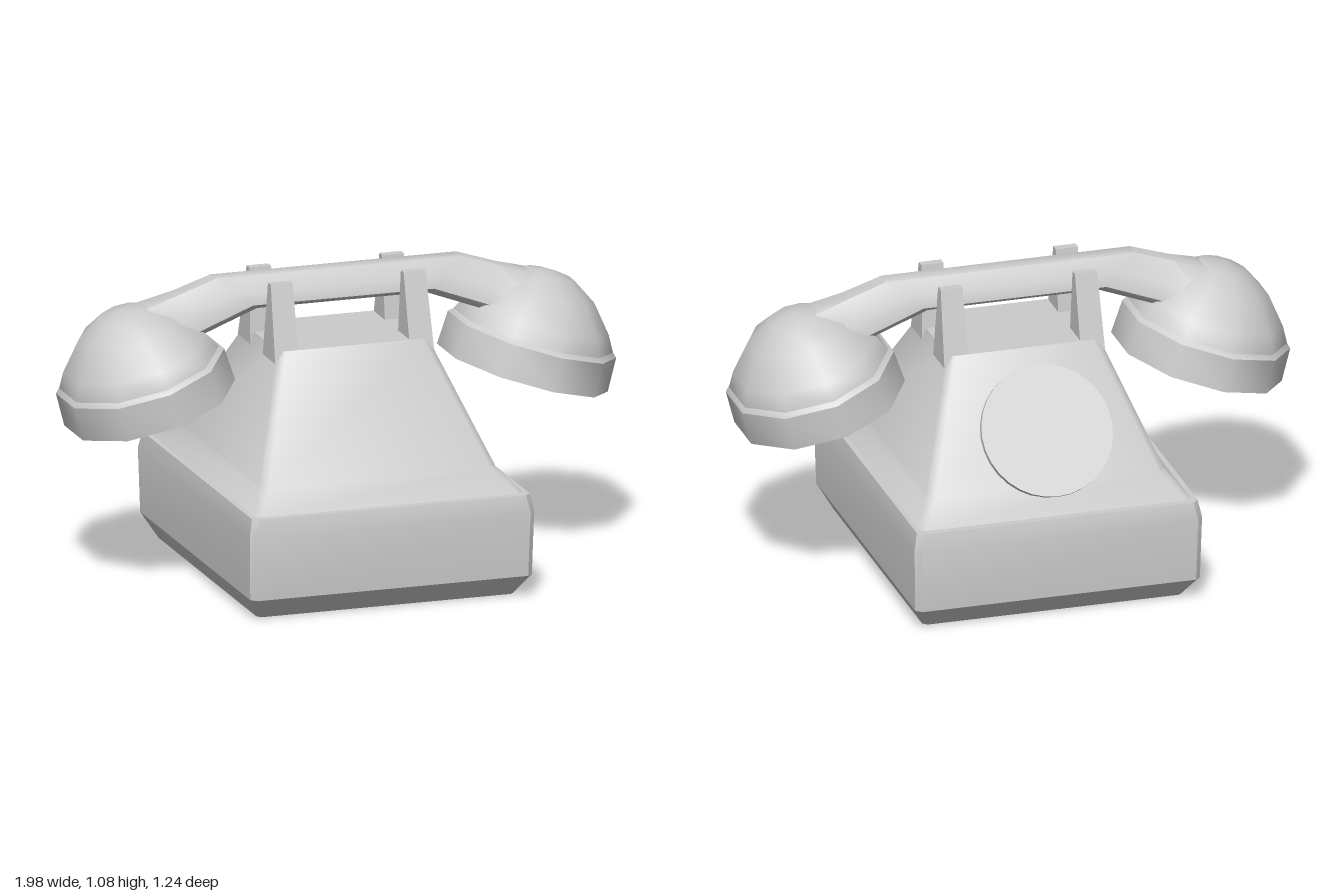
import * as THREE from 'three';
import { toCreasedNormals } from 'three/addons/utils/BufferGeometryUtils.js';

const material = new THREE.MeshStandardMaterial({ color: 0xcccccc });

function addMesh(parent, name, geometry, crease = 0.6) {
  const mesh = new THREE.Mesh(toCreasedNormals(geometry, crease), material);
  mesh.name = name;
  parent.add(mesh);
  return mesh;
}

// Skin a row of equal-length rings of [x, y, z] and close both ends
function loft(rings) {
  const n = rings[0].length, index = [];
  for (let r = 0; r < rings.length - 1; r++) {
    for (let i = 0; i < n; i++) {
      const a = r * n + i, b = r * n + (i + 1) % n;
      index.push(a, b, b + n, a, b + n, a + n);
    }
  }
  const last = (rings.length - 1) * n;
  for (let i = 1; i < n - 1; i++) {
    index.push(0, i + 1, i, last, last + i, last + i + 1);
  }
  const geometry = new THREE.BufferGeometry();
  geometry.setAttribute('position', new THREE.Float32BufferAttribute(rings.flat(2), 3));
  geometry.setIndex(index);
  return geometry;
}

// Horizontal rectangle with cut corners
function cutRect([y, hx, hz, c]) {
  return [
    [hx, hz - c], [hx, c - hz], [hx - c, -hz], [c - hx, -hz],
    [-hx, c - hz], [-hx, hz - c], [c - hx, hz], [hx - c, hz],
  ].map(([x, z]) => [x, y, z]);
}

// Handle cross-section between a top and a bottom point
function handleRing([tx, ty, bx, by, width]) {
  const half = [[0.03, 1], [0.072, 0.55], [0.082, 0.15], [0.06, 0]];
  const outline = [
    ...half.map(([z, t]) => [-z, t]).reverse(),
    ...half,
  ];
  return outline.map(([z, t]) => [bx + (tx - bx) * t, by + (ty - by) * t, z * width]);
}

export function createModel() {
  const phone = new THREE.Group();
  phone.name = 'telephone';

  // Base box and tapered body: y, half width, half depth, corner cut
  addMesh(phone, 'base', loft([
    [0, 0.47, 0.54, 0.015], [0.08, 0.515, 0.61, 0.02],
    [0.31, 0.52, 0.62, 0.02], [0.37, 0.508, 0.607, 0.02],
  ].map(cutRect)), 0.35);
  addMesh(phone, 'body', loft([
    [0.36, 0.5, 0.595, 0.02], [0.37, 0.49, 0.58, 0.02],
    [0.44, 0.43, 0.47, 0.025], [0.845, 0.275, 0.195, 0.025],
  ].map(cutRect)), 0.85);

  // Four cradle prongs, tapering towards the top
  for (const sx of [1, -1]) {
    for (const sz of [1, -1]) {
      const geometry = new THREE.BoxGeometry(1, 1, 1);
      const p = geometry.attributes.position;
      for (let i = 0; i < p.count; i++) {
        const top = p.getY(i) > 0;
        const outerX = p.getX(i) * sx > 0, outerZ = p.getZ(i) * sz > 0;
        const x = outerX ? (top ? 0.283 : 0.292) : 0.203;
        const z = outerZ ? (top ? 0.13 : 0.212) : (top ? 0.1 : 0.06);
        p.setXYZ(i, sx * x, top ? 1.07 : 0.76, sz * z);
      }
      addMesh(phone, 'cradleProng', geometry);
    }
  }

  // Round dial plate lying on the back slope
  const dial = addMesh(phone, 'dialPlate', new THREE.CylinderGeometry(0.235, 0.235, 0.02, 32));
  dial.position.set(-0.022, 0.607, -0.386);
  dial.rotation.x = -Math.atan2(0.832, 0.555);

  // Handset: bent handle with a cup at each end
  const handset = new THREE.Group();
  handset.name = 'handset';
  phone.add(handset);
  const stations = [
    [0.45, 1.08, 0.31, 0.97, 1], [0.59, 1.033, 0.51, 0.895, 1.1],
    [0.71, 0.998, 0.62, 0.84, 1.7],
  ];
  const mirrored = [...stations].reverse().map(([tx, ty, bx, by, w]) => [-tx, ty, -bx, by, w]);
  addMesh(handset, 'handle', loft([...mirrored, ...stations].map(handleRing)), 0.9);

  const domeProfile = [[0.31, -0.01], [0.308, 0.015], [0.275, 0.07], [0.19, 0.165], [0.095, 0.222], [0, 0.238]];
  const rimProfile = [[0, -0.122], [0.33, -0.122], [0.325, 0], [0.308, 0.015]];
  const lathe = (profile) =>
    new THREE.LatheGeometry(profile.map(([r, y]) => new THREE.Vector2(r, y)), 10);
  for (const side of [1, -1]) {
    const cup = new THREE.Group();
    cup.name = side > 0 ? 'leftCup' : 'rightCup';
    cup.position.set(side * 0.717, 0.765, 0);
    cup.rotation.z = -side * 0.295;
    cup.scale.x = 0.925;
    addMesh(cup, 'cupDome', lathe(domeProfile), 0.9);
    addMesh(cup, 'cupRim', lathe(rimProfile), 0.7);
    handset.add(cup);
  }

  return phone;
}
